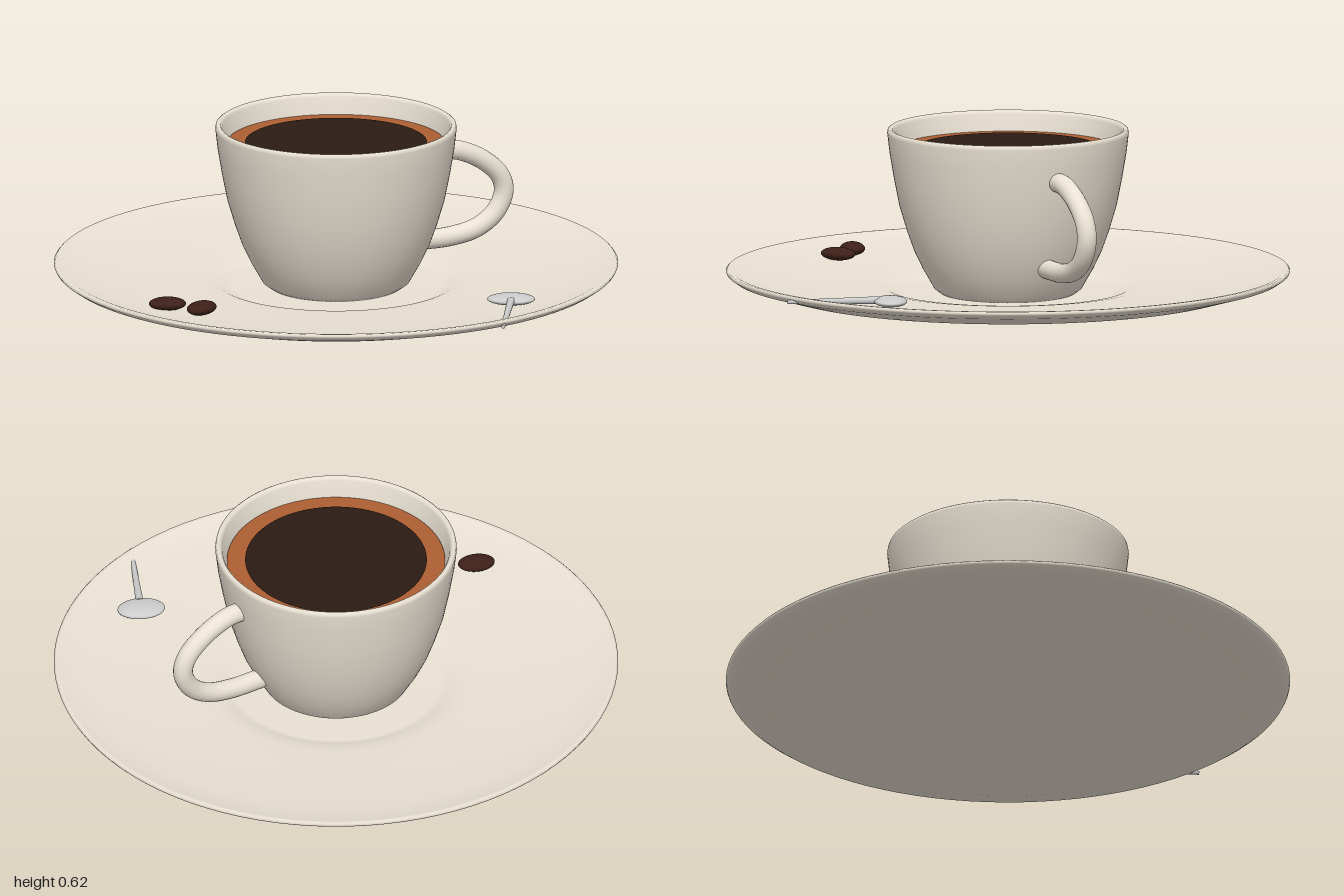
import * as THREE from 'three';

const material = (color) => new THREE.MeshStandardMaterial({ color });
const vec = (p) => new THREE.Vector3(...p);

export function createModel() {
  const model = new THREE.Group();
  const china = material(0xe9e1d3);
  const steel = material(0xcccccc);
  const roast = material(0x3d2018);

  function add(name, geometry, mat, position = [0, 0, 0]) {
    const mesh = new THREE.Mesh(geometry, mat);
    mesh.name = name;
    mesh.position.set(...position);
    model.add(mesh);
    return mesh;
  }
  const lathe = (points) =>
    new THREE.LatheGeometry(points.map(([x, y]) => new THREE.Vector2(x, y)), 96);

  // Saucer: underside outwards, round the rim, then back in to the cup well
  add('saucer', lathe([
    [0, 0], [0.3, 0], [0.5, 0.01], [0.83, 0.042], [0.975, 0.083], [0.996, 0.098],
    [1, 0.106], [0.994, 0.112], [0.98, 0.111], [0.95, 0.1], [0.88, 0.088], [0.75, 0.074],
    [0.6, 0.061], [0.48, 0.053], [0.43, 0.046], [0.4, 0.034], [0.37, 0.026], [0, 0.025],
  ]), china);

  // Cup: outer wall, rounded lip and inner wall in one profile
  add('cup', lathe([
    [0, 0.025], [0.235, 0.025], [0.262, 0.045], [0.302, 0.115], [0.333, 0.18], [0.358, 0.25],
    [0.385, 0.34], [0.404, 0.435], [0.42, 0.53], [0.428, 0.6], [0.426, 0.612], [0.419, 0.617],
    [0.41, 0.614], [0.404, 0.604], [0.388, 0.53], [0.365, 0.4], [0.32, 0.24], [0.24, 0.07], [0, 0.06],
  ]), china);

  // Handle
  const loop = new THREE.CatmullRomCurve3([
    [0.39, 0.478, 0], [0.46, 0.473, 0], [0.56, 0.428, 0], [0.63, 0.36, 0], [0.643, 0.3, 0],
    [0.61, 0.23, 0], [0.54, 0.18, 0], [0.44, 0.158, 0], [0.315, 0.155, 0],
  ].map(vec));
  add('handle', new THREE.TubeGeometry(loop, 64, 0.035, 20), china);

  // Coffee with its crema ring
  const crema = add('crema', new THREE.CircleGeometry(0.387, 96), material(0xad5f33), [0, 0.545, 0]);
  const coffee = add('coffee', new THREE.CircleGeometry(0.322, 96), material(0x2b1c14), [0, 0.55, 0]);
  crema.rotation.x = coffee.rotation.x = -Math.PI / 2;

  // Flattened ellipsoids: coffee beans and spoon bowl
  function ellipsoid(name, mat, position, size, turn) {
    const mesh = add(name, new THREE.SphereGeometry(1, 32, 20), mat, position);
    mesh.scale.set(...size);
    mesh.rotation.y = turn;
  }
  ellipsoid('coffeeBean1', roast, [-0.75, 0.097, 0.25], [0.066, 0.023, 0.044], -0.35);
  ellipsoid('coffeeBean2', roast, [-0.66, 0.097, 0.35], [0.066, 0.023, 0.046], 0.6);
  ellipsoid('spoonBowl', steel, [0.4, 0.096, 0.655], [0.085, 0.018, 0.059], -0.42);

  // Spoon stem, tapering towards the saucer rim
  const from = vec([0.385, 0.1, 0.69]);
  const to = vec([0.235, 0.092, 0.98]);
  const along = to.clone().sub(from);
  const stem = add('spoonStem', new THREE.CylinderGeometry(0.007, 0.014, along.length(), 16), steel);
  stem.position.copy(from).add(to).multiplyScalar(0.5);
  stem.quaternion.setFromUnitVectors(new THREE.Vector3(0, 1, 0), along.normalize());

  return model;
}
